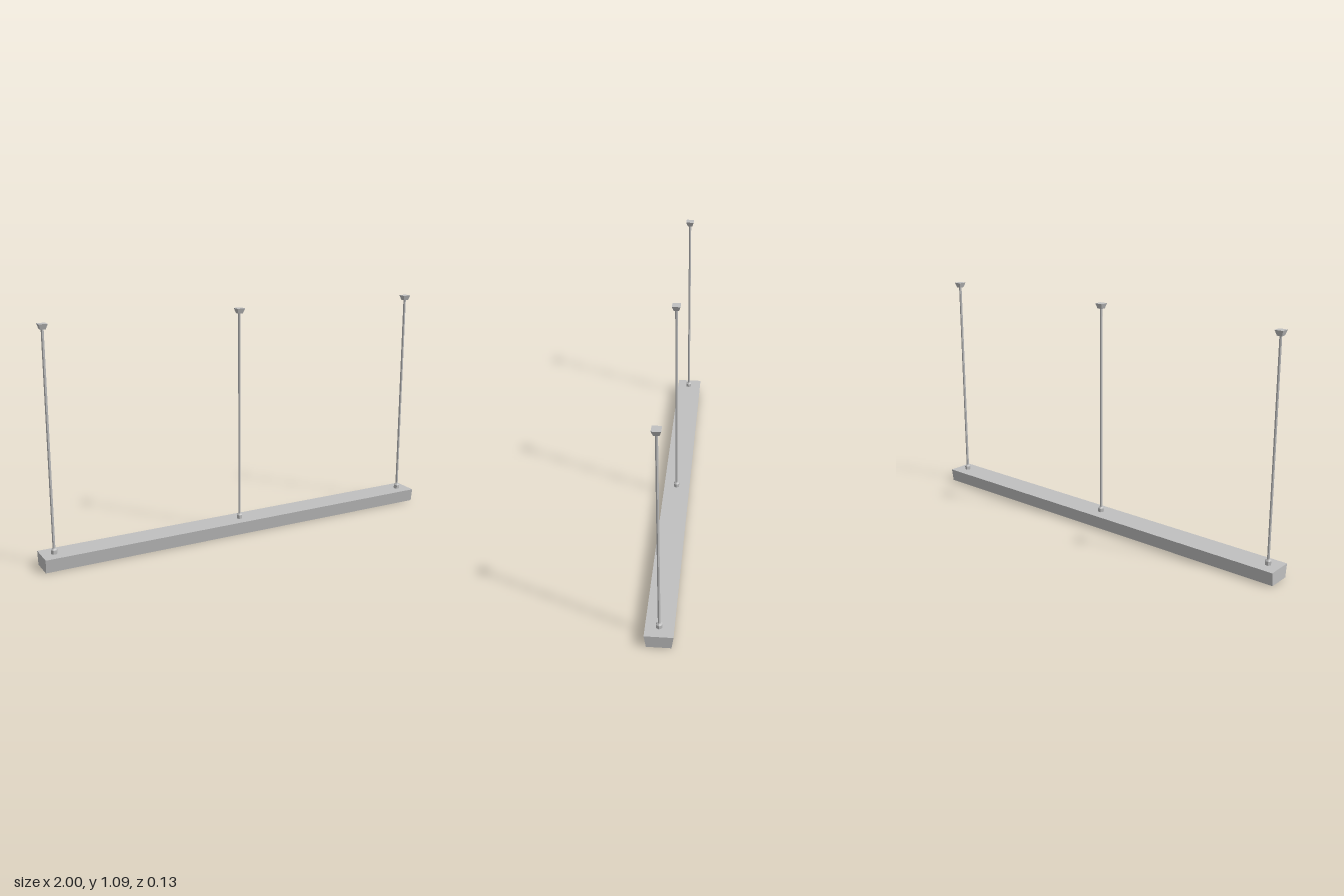
import * as THREE from 'three';

const metal = new THREE.MeshStandardMaterial({ color: 0xc0c0c0 });
metal.name = 'light grey metal';

function add(parent, name, geometry, x, y, z) {
  // split vertices so every facet stays flat
  const flat = geometry.toNonIndexed();
  flat.computeVertexNormals();
  const mesh = new THREE.Mesh(flat, metal);
  mesh.name = name;
  mesh.position.set(x, y, z);
  parent.add(mesh);
}

// Box whose bottom is narrower than its top
function taperedBox(w, h, d, bottomX, bottomZ) {
  const geometry = new THREE.BoxGeometry(w, h, d);
  const p = geometry.attributes.position;
  for (let i = 0; i < p.count; i++) {
    if (p.getY(i) < 0) p.setXYZ(i, p.getX(i) * bottomX, p.getY(i), p.getZ(i) * bottomZ);
  }
  return geometry;
}

// Six-sided prism with a corner towards +x
function hex(top, bottom, height) {
  return new THREE.CylinderGeometry(top, bottom, height, 6, 1, false, Math.PI / 2);
}

export function createModel() {
  const model = new THREE.Group();
  model.name = 'suspendedLinearLamp';

  // Long lamp housing with sloping long sides
  add(model, 'housing', taperedBox(2, 0.063, 0.126, 1, 0.86), 0, 0.0315, 0);

  // Three hangers from housing to ceiling
  for (const x of [-0.942, -0.009, 0.942]) {
    const hanger = new THREE.Group();
    hanger.name = 'hanger';
    hanger.position.set(x, 0, 0.002);
    add(hanger, 'ferrule', hex(0.015, 0.015, 0.018), 0, 0.072, 0);
    add(hanger, 'ferruleCap', hex(0.008, 0.015, 0.007), 0, 0.0845, 0);
    add(hanger, 'rod', hex(0.0065, 0.0065, 1.0), 0, 0.568, 0);
    add(hanger, 'ceilingMount', taperedBox(0.039, 0.024, 0.039, 0.6, 0.6), 0, 1.078, 0);
    model.add(hanger);
  }
  return model;
}
